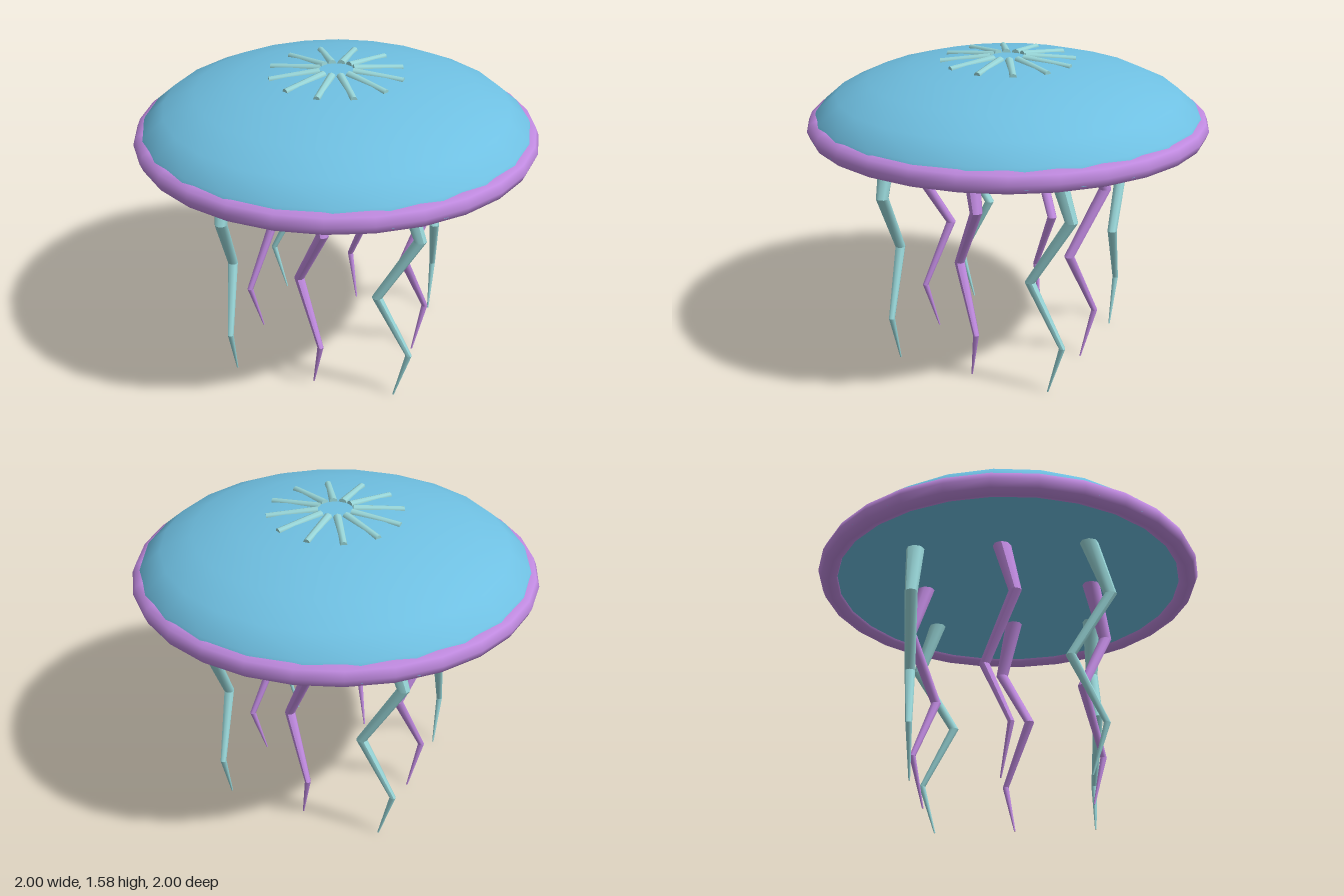
import * as THREE from 'three';
import { mergeGeometries } from 'three/addons/utils/BufferGeometryUtils.js';

const material = (name, color) => {
  const m = new THREE.MeshStandardMaterial({ color });
  m.name = name;
  return m;
};

// One row per joint: height, outward shift, sideways shift, radius
const JOINTS = [
  [1.23, 0.015, 0, 0.047],
  [0.92, 0.083, 0.075, 0.032],
  [0.59, -0.038, -0.083, 0.026],
  [0.255, 0.052, 0.052, 0.016],
  [0, 0, 0, 0.004],
];

// Zigzag arm lofted through the joints, with crisp bends; outward is +z
function tentacleGeometry() {
  const segments = [];
  for (let i = 0; i < JOINTS.length - 1; i++) {
    const g = new THREE.CylinderGeometry(1, 1, 1, 8, 1);
    const p = g.attributes.position;
    for (let k = 0; k < p.count; k++) {
      const [y, out, side, r] = JOINTS[p.getY(k) > 0 ? i : i + 1];
      p.setXYZ(k, side + p.getX(k) * r, y, out + p.getZ(k) * r);
    }
    g.computeVertexNormals();
    segments.push(g);
  }
  return mergeGeometries(segments);
}

export function createModel() {
  const model = new THREE.Group();
  model.name = 'jellyfish';
  const blue = material('bell blue', 0x6fc0e2);
  const purple = material('rim purple', 0xc08ae0);
  const teal = material('pale teal', 0x98d6d8);

  const add = (parent, name, geometry, mat) => {
    const mesh = new THREE.Mesh(geometry, mat);
    mesh.name = name;
    parent.add(mesh);
    return mesh;
  };

  // Bell: flattened half sphere closed by a flat underside
  const bellY = 1.21, bellR = 0.985, bellH = 0.352;
  const dome = new THREE.SphereGeometry(1, 24, 6, 0, Math.PI * 2, 0, Math.PI / 2);
  dome.scale(bellR, bellH, bellR);
  add(model, 'bell', dome, blue).position.y = bellY;
  const floor = new THREE.CircleGeometry(bellR - 0.02, 24);
  floor.rotateX(Math.PI / 2);
  add(model, 'bellUnderside', floor, blue).position.y = bellY;

  // Rolled rim
  const rim = new THREE.TorusGeometry(0.944, 0.056, 8, 28);
  rim.rotateX(Math.PI / 2);
  add(model, 'rim', rim, purple).position.y = 1.236;

  // Star of twelve ribs lying on the crown
  const ribs = new THREE.Group();
  ribs.name = 'crownRibs';
  const inner = new THREE.Vector3(0, 1.555, 0.085);
  const outer = new THREE.Vector3(0, 1.538, 0.335);
  const axis = outer.clone().sub(inner);
  const ribGeometry = new THREE.CylinderGeometry(0.017, 0.022, axis.length(), 8);
  ribGeometry.applyQuaternion(new THREE.Quaternion().setFromUnitVectors(
    new THREE.Vector3(0, 1, 0), axis.clone().normalize()));
  const middle = inner.clone().add(outer).multiplyScalar(0.5);
  ribGeometry.translate(middle.x, middle.y, middle.z);
  for (let i = 0; i < 12; i++) {
    add(ribs, 'crownRib', ribGeometry, teal).rotation.y = i * Math.PI / 6;
  }
  model.add(ribs);

  // Eight tentacles: purple on an inner ring, teal on an outer one
  const arm = tentacleGeometry();
  for (let i = 0; i < 8; i++) {
    const isOuter = i % 2 === 1;
    const angle = i * Math.PI / 4;
    const radius = isOuter ? 0.594 : 0.42;
    const mesh = add(model, isOuter ? 'outerTentacle' : 'innerTentacle', arm, isOuter ? teal : purple);
    mesh.position.set(Math.sin(angle) * radius, 0, Math.cos(angle) * radius);
    mesh.rotation.y = angle;
  }
  return model;
}
